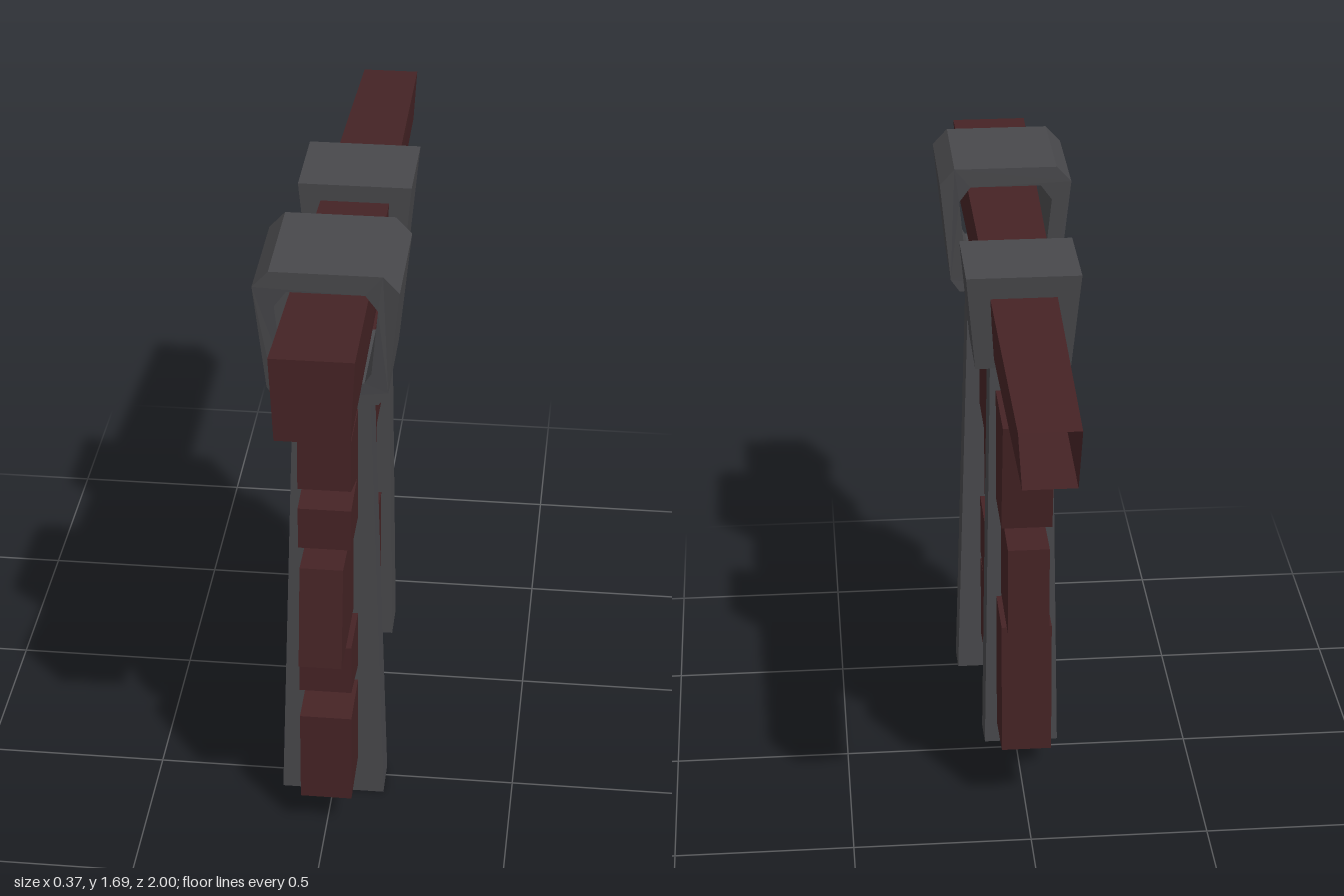
import * as THREE from 'three';

const { lerp, mapLinear } = THREE.MathUtils;

// Move every vertex by a rule, then restore flat faces
function reshape(geometry, rule) {
  const g = geometry.index ? geometry.toNonIndexed() : geometry;
  const p = g.attributes.position;
  const v = new THREE.Vector3();
  for (let i = 0; i < p.count; i++) {
    rule(v.fromBufferAttribute(p, i));
    p.setXYZ(i, v.x, v.y, v.z);
  }
  g.computeVertexNormals();
  return g;
}

const polygon = (points) => new THREE.Shape(points.map(([x, y]) => new THREE.Vector2(x, y)));

// Side outline given as [z, y], extruded evenly to both sides of x = 0
function sidePrism(outline, halfWidth) {
  const g = new THREE.ExtrudeGeometry(polygon(outline), { depth: halfWidth * 2, bevelEnabled: false });
  return g.translate(0, 0, -halfWidth).rotateY(-Math.PI / 2);
}

// Half outline mirrored across x = 0
const mirrored = (half) => [...half, ...half.map(([x, y]) => [-x, y]).reverse()];

export function createModel() {
  const group = new THREE.Group();
  const wood = new THREE.MeshStandardMaterial({ color: 0x452325, side: THREE.DoubleSide });
  wood.name = 'dark red wood';
  const iron = new THREE.MeshStandardMaterial({ color: 0x48484b });
  iron.name = 'grey iron';

  const add = (name, geometry, material) => {
    const mesh = new THREE.Mesh(geometry, material);
    mesh.name = name;
    group.add(mesh);
  };

  // Tapered beam, open at the rear end
  const beamBox = new THREE.BoxGeometry(2, 2, 2);
  beamBox.setIndex(Array.from(beamBox.index.array).slice(0, 30));
  beamBox.clearGroups();
  add('beam', reshape(beamBox, (v) => {
    const t = (v.z + 1) / 2;
    const top = v.y > 0;
    v.x *= top ? lerp(0.08, 0.107, t) : lerp(0.07, 0.095, t);
    v.y = top ? lerp(1.51, 1.61, t) : lerp(1.355, 1.38, t);
  }), wood);

  // Hanging planks with split and slanted ends
  add('upperPlank', sidePrism([
    [0.75, 1.24], [0.75, 1.09], [0.61, 1.045], [0.75, 1.03],
    [0.75, 0.91], [-0.345, 0.91], [-0.405, 1.24],
  ], 0.07), wood);
  add('middlePlank', sidePrism([
    [0.825, 0.895], [0.865, 0.612], [-0.41, 0.612], [-0.41, 0.875],
  ], 0.057), wood);
  add('lowerPlank', sidePrism([
    [0.75, 0.6], [0.75, 0.455], [0.355, 0.395], [0.75, 0.368],
    [0.75, 0.1], [-0.345, 0.203], [-0.345, 0.6],
  ], 0.07), wood);

  // Straps that widen towards the bottom
  const strap = (name, z0, z1, bottom, top, halfBottom, halfTop) => {
    const outline = [[z0, bottom + 0.01], [z1, bottom], [z1, top], [z0, top]];
    add(name, reshape(sidePrism(outline, 1), (v) => {
      v.x *= mapLinear(v.y, bottom, top, halfBottom, halfTop);
    }), iron);
  };
  strap('frontStrap', 0.47, 0.58, 0, 1.33, 0.142, 0.1);
  strap('rearStrap', -0.16, -0.05, 0.11, 1.35, 0.105, 0.085);

  // Front bracket: a chamfered ring around the beam, shallower at the foot
  const ring = polygon(mirrored([[0.132, 1.307], [0.157, 1.343], [0.187, 1.645], [0.145, 1.69]]));
  ring.holes.push(polygon(mirrored([[0.096, 1.37], [0.114, 1.4], [0.132, 1.59], [0.1, 1.635]])));
  const ringGeometry = new THREE.ExtrudeGeometry(ring, { depth: 2, bevelEnabled: false });
  add('frontBracket', reshape(ringGeometry.translate(0, 0, -1), (v) => {
    const t = THREE.MathUtils.clamp((v.y - 1.343) / (1.645 - 1.343), 0, 1);
    v.z = 0.528 + v.z * lerp(0.143, 0.17, t);
  }), iron);

  // Rear bracket: a solid tapered block
  add('rearBracket', reshape(new THREE.BoxGeometry(2, 2, 2), (v) => {
    const top = v.y > 0;
    v.x *= top ? 0.155 : 0.13;
    v.z = top ? -0.118 + v.z * 0.136 : -0.109 + v.z * 0.115;
    v.y = top ? 1.61 : 1.335;
  }), iron);

  return group;
}
